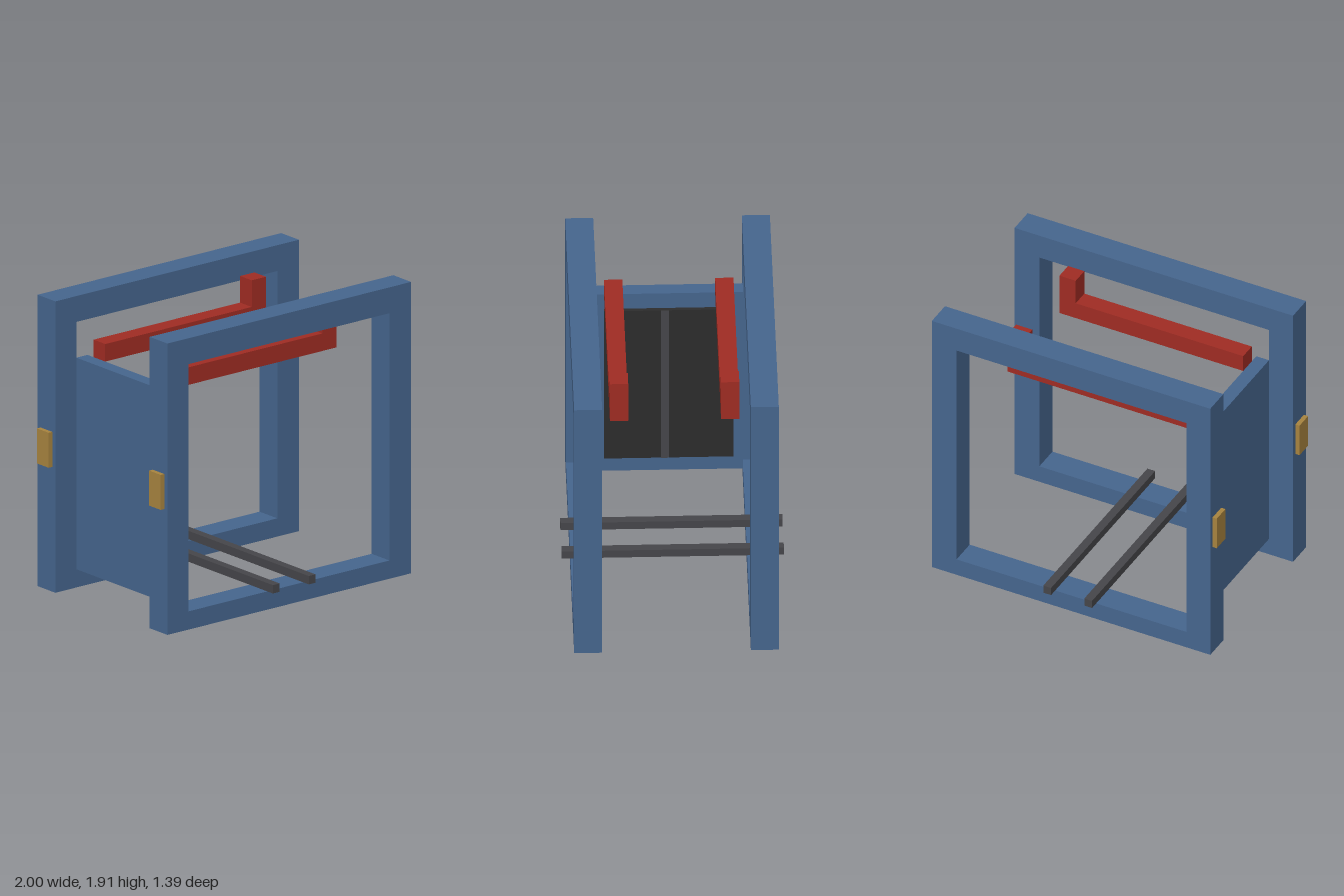
import * as THREE from 'three';

const material = (name, color) => {
  const m = new THREE.MeshStandardMaterial({ color });
  m.name = name;
  return m;
};

export function createModel() {
  const model = new THREE.Group();
  const blue = material('blue paint', 0x46668e);
  const red = material('red paint', 0xa02c23);
  const black = material('black pad', 0x2d2d2d);
  const grey = material('dark grey metal', 0x46464a);
  const gold = material('gold plate', 0xa8843f);

  const add = (name, geometry, mat) => {
    const mesh = new THREE.Mesh(geometry, mat);
    mesh.name = name;
    model.add(mesh);
    return mesh;
  };
  // Box given by its lower and upper limits on each axis
  const box = (name, mat, [x0, x1], [y0, y1], [z0, z1]) =>
    add(name, new THREE.BoxGeometry(x1 - x0, y1 - y0, z1 - z0), mat)
      .position.set((x0 + x1) / 2, (y0 + y1) / 2, (z0 + z1) / 2);
  // Outline in x and y pulled through a depth along z
  const slab = (name, mat, points, hole, depth, z) => {
    const shape = new THREE.Shape(points.map(p => new THREE.Vector2(...p)));
    if (hole) shape.holes.push(new THREE.Path(hole.map(p => new THREE.Vector2(...p))));
    const geometry = new THREE.ExtrudeGeometry(shape, { depth, bevelEnabled: false });
    add(name, geometry.translate(0, 0, -depth / 2), mat).position.z = z;
  };
  const rect = (x0, x1, y0, y1) => [[x0, y0], [x1, y0], [x1, y1], [x0, y1]];

  for (const [side, s] of [['front', 1], ['back', -1]]) {
    // Square side frame with a rectangular opening
    slab(side + 'Frame', blue, rect(-0.97, 1, 0, 1.915),
      rect(-0.8, 0.825, 0.12, 1.745), 0.175, s * 0.5525);
    // Arm with an upturned end
    slab(side + 'Arm', red, [[-0.71, 1.51], [0.59, 1.51], [0.59, 1.8],
      [0.475, 1.8], [0.475, 1.625], [-0.71, 1.625]], null, 0.115, s * 0.3475);
    // Small plate on the outside of the post
    const z = s * 0.5525;
    box(side + 'Plate', gold, [-1, -0.97], [0.82, 1.05], [z - 0.0575, z + 0.0575]);
  }

  // End panel, its inner pad and the pad's stripe
  box('endPanel', blue, [-0.8, -0.71], [0.12, 1.51], [-0.465, 0.465]);
  box('pad', black, [-0.71, -0.685], [0.235, 1.395], [-0.405, 0.405]);
  box('padStripe', grey, [-0.685, -0.682], [0.235, 1.395], [0, 0.05]);

  // Cross rails resting on the lower beams
  for (const x of [-0.135, 0.155])
    box('crossRail', grey, [x - 0.0275, x + 0.0275], [0.12, 0.175], [-0.695, 0.695]);

  return model;
}
